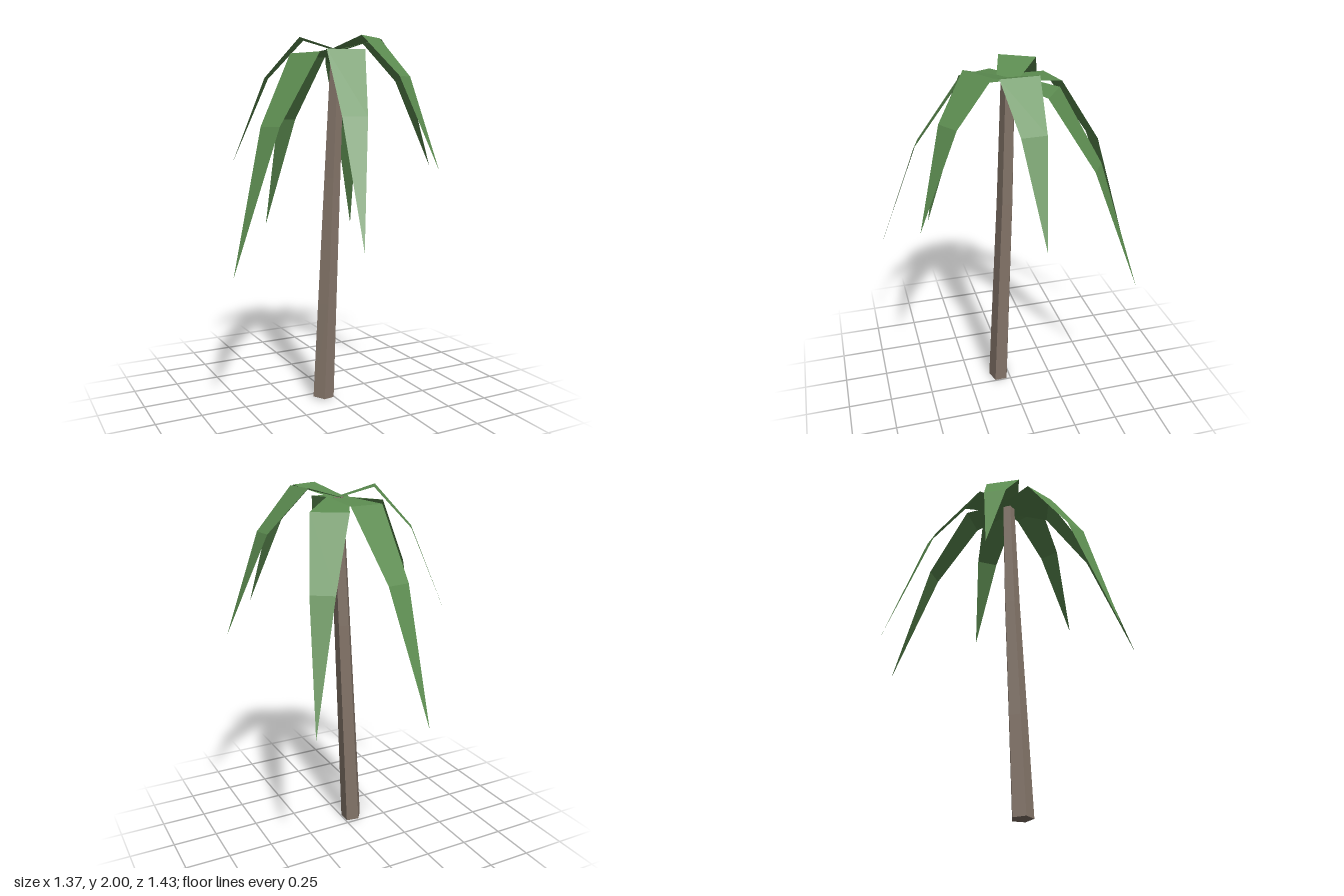
import * as THREE from 'three';

const bark = new THREE.MeshStandardMaterial({ color: 0x85766a, flatShading: true });
bark.name = 'bark';
const leaf = new THREE.MeshStandardMaterial({ color: 0x5d8d51, flatShading: true, side: THREE.DoubleSide });
leaf.name = 'leaf green';

const CROWN = [0.045, 1.94, 0.027];

// Five-sided leaning, tapering trunk: rings of [x, y, z, radius]
function trunk() {
  const rings = [
    [-0.055, 0, 0.062, 0.061],
    [-0.025, 0.55, 0.05, 0.055],
    [0.015, 1.25, 0.034, 0.047],
    [0.05, 1.94, 0.025, 0.038],
  ];
  const geo = new THREE.CylinderGeometry(1, 1, 1, 5, 3, false, -0.3);
  const p = geo.attributes.position;
  for (let i = 0; i < p.count; i++) {
    const [cx, cy, cz, r] = rings[Math.round((p.getY(i) + 0.5) * 3)];
    const x = cx + p.getX(i) * r;
    // the cut at the foot follows the lean a little
    p.setXYZ(i, x, cy === 0 ? Math.max(0, -0.1 * x) : cy, cz + p.getZ(i) * r);
  }
  geo.computeVertexNormals();
  const mesh = new THREE.Mesh(geo, bark);
  mesh.name = 'trunk';
  return mesh;
}

// Folded blade: crown edge, wide shoulder, narrower middle, pointed tip
function frond(shoulder, midY, tip) {
  const dx = tip[0] - shoulder[0], dz = tip[2] - shoulder[2];
  const len = Math.hypot(dx, dz);
  const sx = -dz / len, sz = dx / len;
  const mid = [shoulder[0] + dx / 2, midY, shoulder[2] + dz / 2];
  const pos = [];
  [[CROWN, 0.058], [shoulder, 0.1], [mid, 0.064]].forEach(([c, w]) => {
    for (const s of [-w, w]) pos.push(c[0] + sx * s, c[1], c[2] + sz * s);
  });
  pos.push(...tip);
  const geo = new THREE.BufferGeometry();
  geo.setAttribute('position', new THREE.Float32BufferAttribute(pos, 3));
  geo.setIndex([0, 1, 2, 1, 3, 2, 2, 3, 4, 3, 5, 4, 4, 5, 6]);
  geo.computeVertexNormals();
  return new THREE.Mesh(geo, leaf);
}

export function createModel() {
  const palm = new THREE.Group();
  palm.name = 'palmTree';
  palm.add(trunk());

  // Shoulder centre, middle height, tip
  const fronds = [
    [[0.262, 2.0, 0.027], 1.785, [0.685, 1.29, 0.008]],
    [[0.188, 1.89, -0.168], 1.53, [0.462, 0.885, -0.565]],
    [[0.008, 1.92, -0.218], 1.565, [-0.08, 0.89, -0.713]],
    [[-0.12, 2.0, -0.066], 1.79, [-0.455, 1.33, -0.265]],
    [[-0.198, 1.91, 0.142], 1.535, [-0.685, 0.82, 0.365]],
    [[-0.022, 1.925, 0.26], 1.585, [-0.165, 0.96, 0.713]],
    [[0.156, 2.0, 0.205], 1.79, [0.366, 1.31, 0.548]],
  ];
  const crown = new THREE.Group();
  crown.name = 'crown';
  fronds.forEach((f, i) => {
    const mesh = frond(...f);
    mesh.name = `frond${i + 1}`;
    crown.add(mesh);
  });
  palm.add(crown);
  return palm;
}
